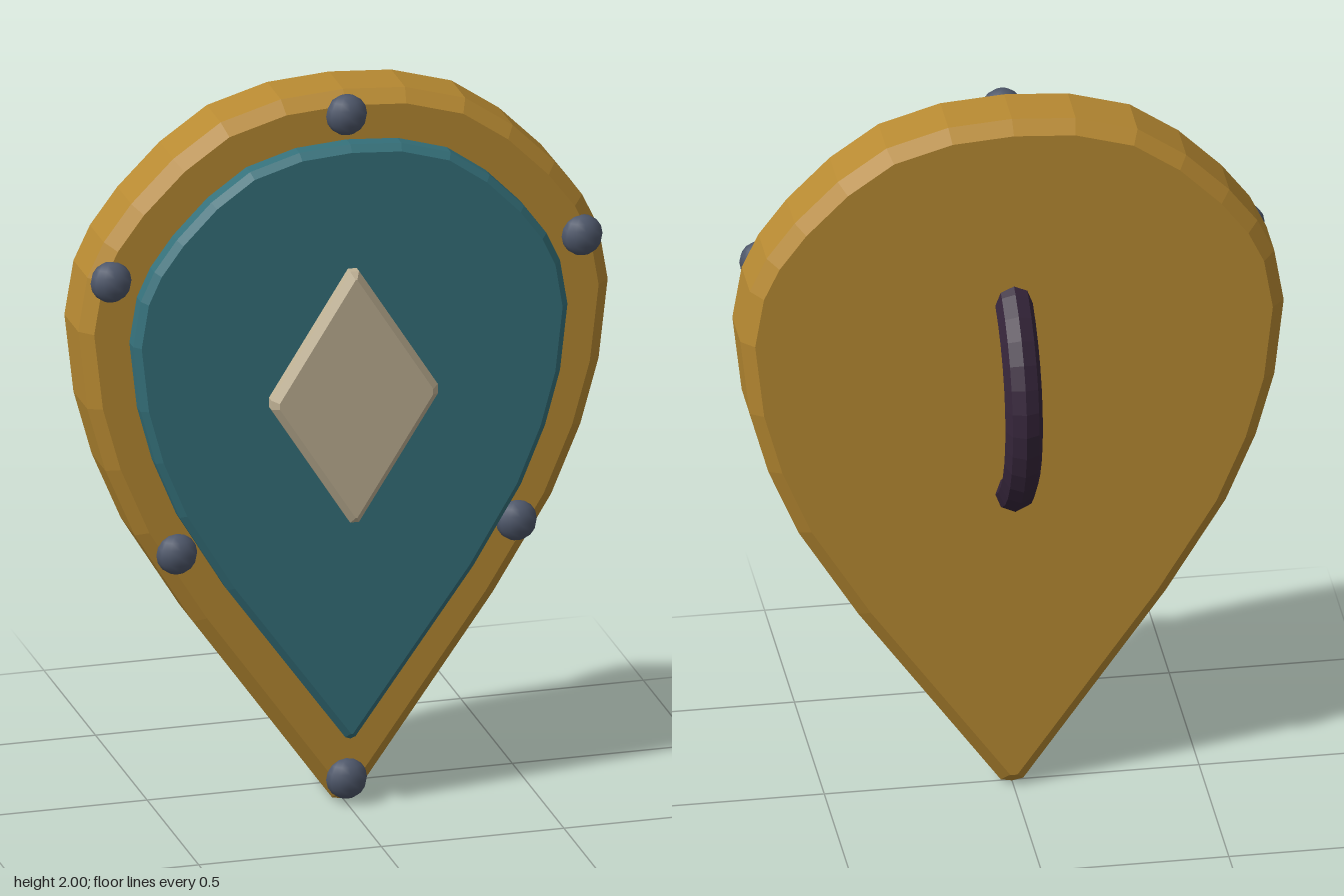
import * as THREE from 'three';

const paint = (name, color) => {
  const m = new THREE.MeshStandardMaterial({ color });
  m.name = name;
  return m;
};

// Right half of the teardrop outline, from the tip to the crown
const HALF = [
  [0.03, 0.006], [0.41, 0.54], [0.57, 0.8], [0.65, 0.99], [0.7, 1.17], [0.725, 1.39], [0.7, 1.54],
  [0.655, 1.635], [0.58, 1.735], [0.465, 1.85], [0.335, 1.94], [0.17, 1.988],
];

function teardrop(sx, sy, y0, tip) {
  const right = HALF.map(([x, y], i) => new THREE.Vector2(i ? x * sx : tip, y0 + y * sy));
  const left = right.map((p) => new THREE.Vector2(-p.x, p.y)).reverse();
  return new THREE.Shape([new THREE.Vector2(0, y0), ...right, new THREE.Vector2(0, y0 + 2 * sy), ...left]);
}

// Plate between two z planes; the outline is its widest section
function plate(name, shape, z0, z1, bevel, material) {
  const geo = new THREE.ExtrudeGeometry(shape, {
    depth: z1 - z0 - 2 * bevel, steps: 1, bevelEnabled: true, bevelSegments: 1,
    bevelSize: bevel, bevelThickness: bevel, bevelOffset: -bevel,
  });
  geo.translate(0, 0, z0 + bevel);
  const mesh = new THREE.Mesh(geo, material);
  mesh.name = name;
  return mesh;
}

export function createModel() {
  const gold = paint('gold', 0xb88a32);
  const teal = paint('teal', 0x35717b);
  const bone = paint('bone', 0xc0b295);
  const iron = paint('iron', 0x4e576a);
  const leather = paint('darkLeather', 0x35253a);
  leather.flatShading = true;

  const group = new THREE.Group();
  group.name = 'shield';

  // Body, raised face and central diamond
  group.add(plate('body', teardrop(1, 1, 0, 0.03), -0.04, 0.162, 0.034, gold));
  group.add(plate('facePanel', teardrop(0.82, 0.8375, 0.195, 0.014), 0.12, 0.218, 0.018, teal));
  const diamond = new THREE.Shape([
    [0.012, 0.82], [0.228, 1.16], [0.228, 1.186], [0.012, 1.527],
    [-0.012, 1.527], [-0.228, 1.186], [-0.228, 1.16], [-0.012, 0.82],
  ].map(([x, y]) => new THREE.Vector2(x, y)));
  group.add(plate('diamond', diamond, 0.19, 0.26, 0.018, bone));

  // Rivets around the rim
  const rivetGeo = new THREE.SphereGeometry(0.056, 12, 8);
  const spots = [[0, 1.94], [0.645, 1.535], [-0.645, 1.535], [0.465, 0.75], [-0.465, 0.75], [0, 0.07]];
  for (const [x, y] of spots) {
    const rivet = new THREE.Mesh(rivetGeo, iron);
    rivet.name = 'rivet';
    rivet.position.set(x, y, 0.163);
    rivet.scale.z = 0.75;
    group.add(rivet);
  }

  // Curved grip on the back, its ends sunk into the body
  const arc = 2.5;
  const gripGeo = new THREE.TorusGeometry(0.324, 0.05, 8, 14, arc);
  gripGeo.rotateZ(-arc / 2);
  gripGeo.rotateY(Math.PI / 2);
  const grip = new THREE.Mesh(gripGeo, leather);
  grip.name = 'grip';
  grip.position.set(0, 1.173, 0.114);
  group.add(grip);

  return group;
}
